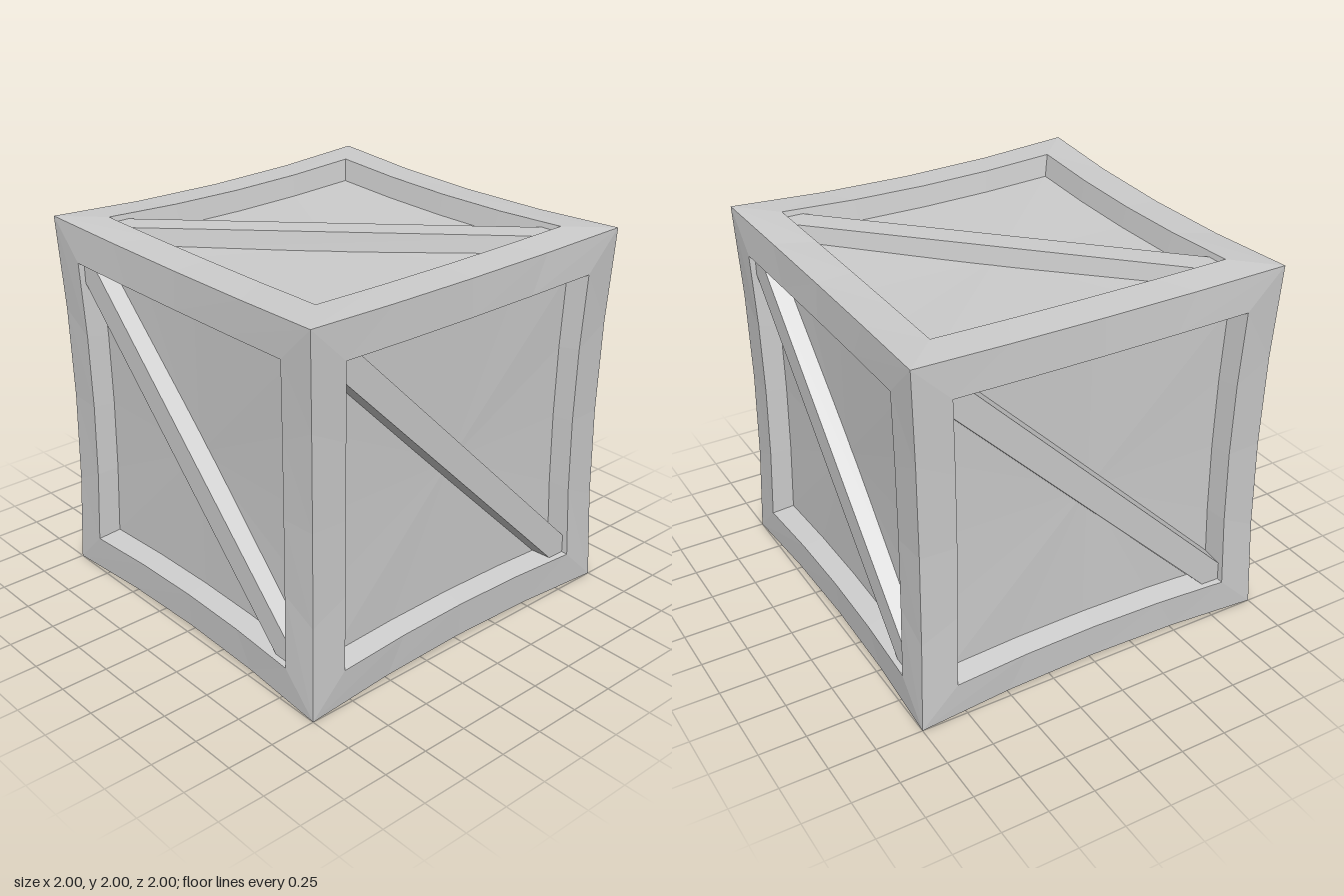
import * as THREE from 'three';

// Faceted skin through nested loops (outermost first, anticlockwise), closed at the centre
function loft(rings, centreZ) {
  const pos = [];
  const n = rings[0].length;
  const centre = [0, 0, centreZ];
  rings.forEach((ring, i) => {
    const next = rings[i + 1];
    for (let j = 0; j < n; j++) {
      const k = (j + 1) % n;
      if (next) pos.push(...ring[j], ...ring[k], ...next[k], ...ring[j], ...next[k], ...next[j]);
      else pos.push(...ring[j], ...ring[k], ...centre);
    }
  });
  const geo = new THREE.BufferGeometry();
  geo.setAttribute('position', new THREE.Float32BufferAttribute(pos, 3));
  geo.computeVertexNormals();
  return geo;
}

// Square loop whose sides bow inwards by `pinch` and sink by `dip` at their middles
function pinchedSquare(half, z, pinch, dip, segments = 4) {
  const points = [];
  for (let side = 0; side < 4; side++) {
    const c = Math.round(Math.cos(side * Math.PI / 2));
    const s = Math.round(Math.sin(side * Math.PI / 2));
    for (let i = 0; i < segments; i++) {
      const t = -1 + 2 * i / segments;
      const bow = 1 - t * t;
      const x = t * half;
      const y = -half + pinch * bow;
      points.push([x * c - y * s, x * s + y * c, z - dip * bow]);
    }
  }
  return points;
}

// Six-sided outline of the diagonal plank
function plankOutline(w, z) {
  const a = 0.8, b = a - w;
  return [[-a, a, z], [-a, b, z], [b, -a, z], [a, -a, z], [a, -b, z], [-b, a, z]];
}

export function createModel() {
  const grey = new THREE.MeshStandardMaterial({ color: 0xcccccc });
  grey.name = 'plainGrey';

  const outer = pinchedSquare(1, 1, 0.027, 0.027);
  const rim = pinchedSquare(0.8, 1, 0.018, 0.018);
  const floor = pinchedSquare(0.773, 0.885, 0.016, 0.012);
  const frameGeo = loft([outer, rim], 1).clone();
  // Keep only the band between outer edge and rim: drop the cap triangles
  const bandFloats = outer.length * 18;
  const band = new THREE.BufferGeometry();
  for (const key of ['position', 'normal']) {
    band.setAttribute(key, new THREE.Float32BufferAttribute(
      frameGeo.getAttribute(key).array.slice(0, bandFloats), 3));
  }
  const panelGeo = loft([rim, floor], 0.872);
  const plankGeo = loft([plankOutline(0.12, 0.86), plankOutline(0.1, 0.97)], 0.97);

  const crate = new THREE.Group();
  crate.name = 'crate';
  const q = Math.PI / 2;
  const sides = {
    front: [0, 0], left: [0, q], back: [0, 2 * q], right: [0, -q], top: [-q, 0], bottom: [q, 0],
  };
  for (const [name, [rx, ry]] of Object.entries(sides)) {
    const side = new THREE.Group();
    side.name = name + 'Side';
    for (const [part, geo] of [['Frame', band], ['Panel', panelGeo], ['Plank', plankGeo]]) {
      const mesh = new THREE.Mesh(geo, grey);
      mesh.name = name + part;
      side.add(mesh);
    }
    side.rotation.set(rx, ry, 0);
    side.position.y = 1;
    crate.add(side);
  }
  return crate;
}
